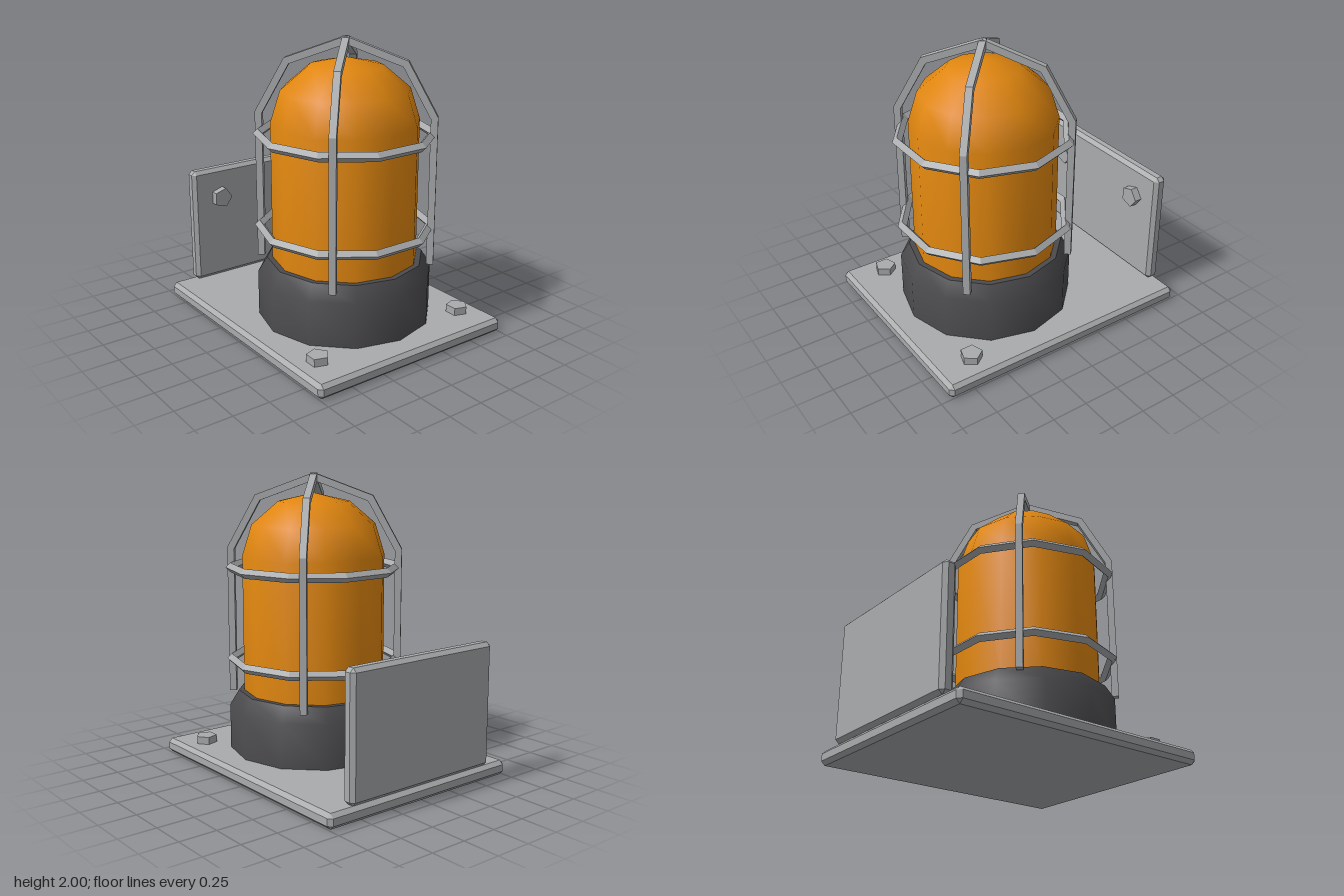
import * as THREE from 'three';
import { toCreasedNormals } from 'three/addons/utils/BufferGeometryUtils.js';
import { ConvexGeometry } from 'three/addons/geometries/ConvexGeometry.js';

const material = (name, color, flatShading = false) => {
  const m = new THREE.MeshStandardMaterial({ color, flatShading });
  m.name = name;
  return m;
};

// Box with every edge chamfered by c
function chamferBox(w, h, d, c) {
  const points = [];
  for (const x of [-w / 2, w / 2]) for (const y of [-h / 2, h / 2]) for (const z of [-d / 2, d / 2]) {
    const [sx, sy, sz] = [Math.sign(x) * c, Math.sign(y) * c, Math.sign(z) * c];
    points.push(
      new THREE.Vector3(x, y - sy, z - sz),
      new THREE.Vector3(x - sx, y, z - sz),
      new THREE.Vector3(x - sx, y - sy, z));
  }
  return new ConvexGeometry(points);
}

// Twelve-sided turned part, smooth except at sharp edges
function turned(profile) {
  const points = profile.map(([r, y]) => new THREE.Vector2(r, y));
  return toCreasedNormals(new THREE.LatheGeometry(points, 12), THREE.MathUtils.degToRad(50));
}

export function createModel() {
  const model = new THREE.Group();
  model.name = 'cagedWarningLamp';
  const metal = material('grey metal', 0xa9abad, true);
  const dark = material('dark housing', 0x4b4b4e);
  const amber = material('amber lens', 0xe0860f);

  const add = (parent, name, geometry, mat, x = 0, y = 0, z = 0) => {
    const mesh = new THREE.Mesh(geometry, mat);
    mesh.name = name;
    mesh.position.set(x, y, z);
    parent.add(mesh);
    return mesh;
  };

  // Mounting bracket
  add(model, 'basePlate', chamferBox(1.52, 0.1, 1.865, 0.026), metal, 0, 0.05, 0);
  add(model, 'backPlate', chamferBox(1.185, 0.835, 0.095, 0.026), metal, 0, 0.518, -0.885);

  // Pentagonal bolts on both plates
  const bolt = new THREE.CylinderGeometry(0.074, 0.074, 0.06, 5).rotateY(Math.PI / 2);
  for (const side of [-1, 1]) {
    add(model, 'baseBolt', bolt, metal, side * 0.59, 0.122, 0.675);
    add(model, 'backBolt', bolt, metal, side * 0.381, 0.72, -0.815).rotation.x = Math.PI / 2;
  }

  // Lamp body
  const lamp = new THREE.Group();
  lamp.name = 'lamp';
  lamp.position.z = 0.175;
  model.add(lamp);
  add(lamp, 'housing', turned([[0.592, 0.09], [0.592, 0.41], [0.53, 0.51], [0, 0.51]]), dark);

  // Lens: straight wall and a slightly flattened dome
  const lens = [[0.492, 0.5]];
  for (let i = 0; i <= 3; i++) {
    const a = i * Math.PI / 6;
    lens.push([i === 3 ? 0 : 0.492 * Math.cos(a), 1.445 + 0.42 * Math.sin(a)]);
  }
  add(lamp, 'lens', turned(lens), amber);

  // Guard rings with a diamond section
  const ring = new THREE.TorusGeometry(0.575, 0.032, 4, 10).rotateX(Math.PI / 2);
  for (const y of [0.725, 1.36]) add(lamp, 'guardRing', ring, metal, 0, y, 0);

  // Two crossed guard arches
  const half = [[0.6, 0.475], [0.6, 1.49], [0.402, 1.85]];
  const inner = [[0.369, 1.812], [0.553, 1.478], [0.553, 0.475]];
  const mirror = (list) => list.map(([x, y]) => [-x, y]).reverse();
  const outline = [...half, [0, 2], ...mirror(half), ...mirror(inner), [0, 1.948], ...inner];
  const thickness = 0.047;
  const arch = new THREE.ExtrudeGeometry(
    new THREE.Shape(outline.map(([x, y]) => new THREE.Vector2(x, y))),
    { depth: thickness, bevelEnabled: false }).translate(0, 0, -thickness / 2);
  for (const side of [-1, 1]) add(lamp, 'guardArch', arch, metal).rotation.y = side * Math.PI / 4;

  return model;
}
